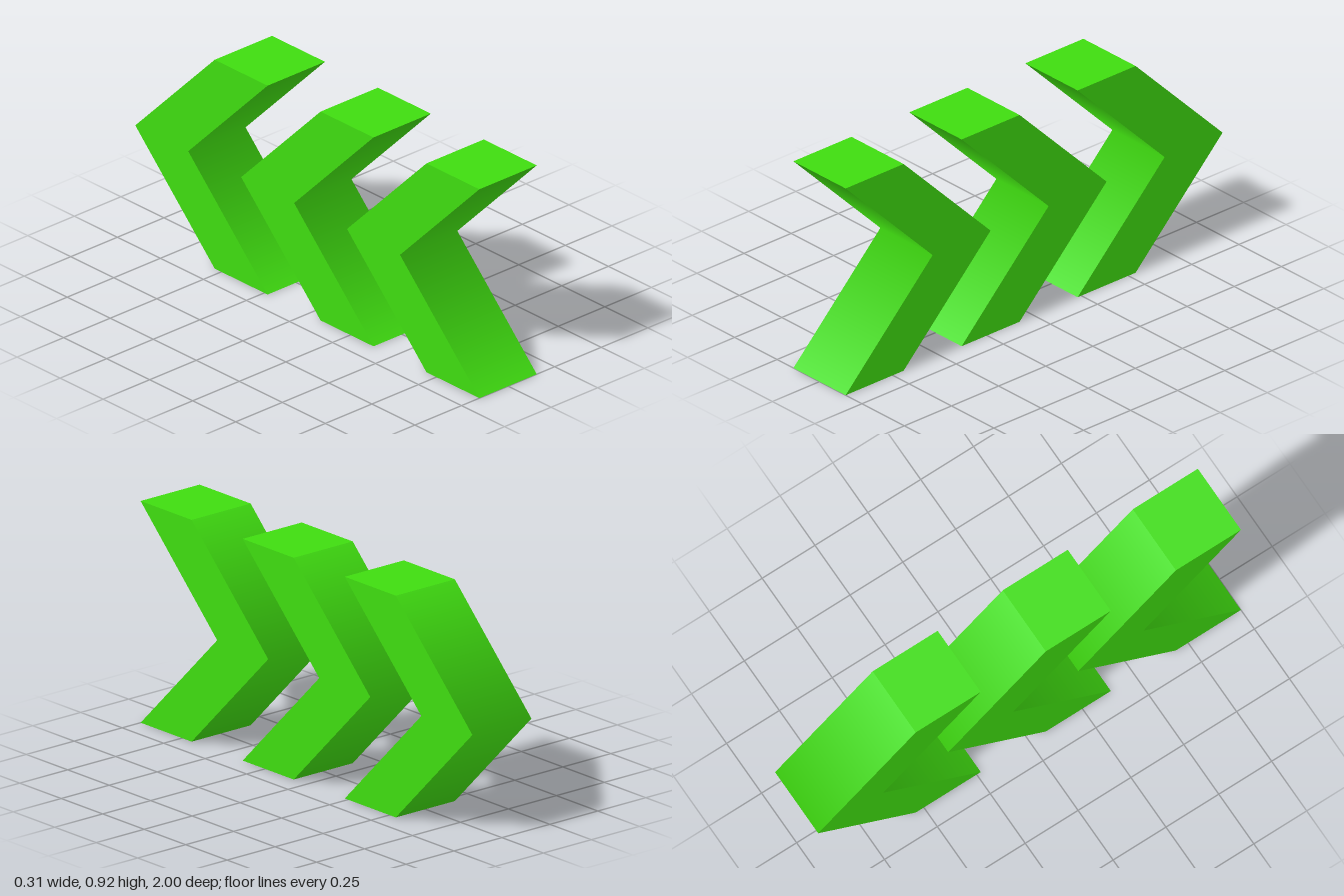
import * as THREE from 'three';

const U = 2 / 6.5;        // band thickness; the row is 6.5 bands long
const HEIGHT = 3 * U;
const MID = HEIGHT / 2;

// Chevron pointing to -z, with its open end at z = 0
function chevronGeometry() {
  const shape = new THREE.Shape([
    [0, 0], [-U, 0], [-U - MID, MID], [-U, HEIGHT], [0, HEIGHT], [-MID, MID],
  ].map(([z, y]) => new THREE.Vector2(z, y)));

  const geo = new THREE.ExtrudeGeometry(shape, { depth: U, bevelEnabled: false });
  geo.translate(0, 0, -U / 2);
  geo.rotateY(-Math.PI / 2);

  // Smooth shading across the inner and outer elbow; all other edges stay sharp
  const pos = geo.attributes.position;
  const nor = geo.attributes.normal;
  for (let i = 0; i < pos.count; i++) {
    if (Math.abs(nor.getX(i)) < 0.5 && Math.abs(pos.getY(i) - MID) < 1e-4) {
      nor.setXYZ(i, 0, 0, Math.sign(nor.getZ(i)));
    }
  }
  return geo;
}

export function createModel() {
  const group = new THREE.Group();
  group.name = 'chevronArrows';
  const material = new THREE.MeshStandardMaterial({ color: 0x3fdc10 });
  const geometry = chevronGeometry();

  // Three equal chevrons in a row, front to back
  ['frontChevron', 'middleChevron', 'backChevron'].forEach((name, i) => {
    const chevron = new THREE.Mesh(geometry, material);
    chevron.name = name;
    chevron.position.z = 1 - i * 2 * U;
    group.add(chevron);
  });
  return group;
}
